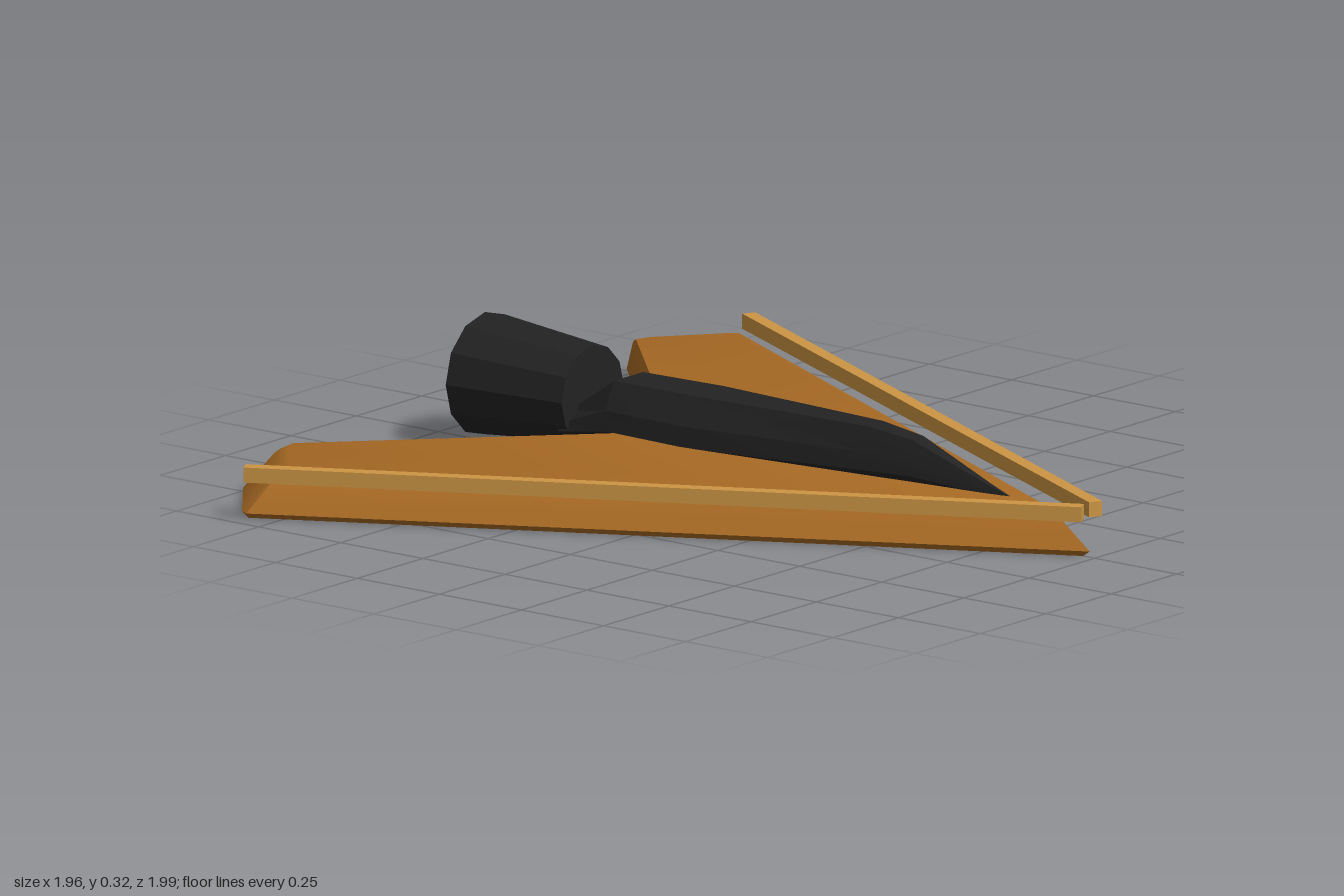
import * as THREE from 'three';
import { toCreasedNormals } from 'three/addons/utils/BufferGeometryUtils.js';

// Skin a stack of equal-length rings of Vector3; caps are triangulated in the plane given by flat()
function loft(rings, flat, crease) {
  const pos = [];
  const tri = (a, b, c) => pos.push(...a.toArray(), ...b.toArray(), ...c.toArray());
  const n = rings[0].length;
  for (let i = 0; i < rings.length - 1; i++) {
    for (let j = 0; j < n; j++) {
      const k = (j + 1) % n, a = rings[i], b = rings[i + 1];
      tri(a[j], a[k], b[k]);
      tri(a[j], b[k], b[j]);
    }
  }
  const cap = (ring, flip) => {
    for (const [a, b, c] of THREE.ShapeUtils.triangulateShape(ring.map(flat), [])) {
      if (flip) tri(ring[c], ring[b], ring[a]);
      else tri(ring[a], ring[b], ring[c]);
    }
  };
  cap(rings[0], true);
  cap(rings[rings.length - 1], false);
  const g = new THREE.BufferGeometry();
  g.setAttribute('position', new THREE.Float32BufferAttribute(pos, 3));
  return toCreasedNormals(g, crease);
}

export function createModel() {
  const model = new THREE.Group();
  const hullBrown = new THREE.MeshStandardMaterial({ color: 0xa86a24 });
  const trimAmber = new THREE.MeshStandardMaterial({ color: 0xcc9544 });
  const engineBlack = new THREE.MeshStandardMaterial({ color: 0x222222 });

  const add = (name, geometry, material) => {
    const mesh = new THREE.Mesh(geometry, material);
    mesh.name = name;
    model.add(mesh);
    return mesh;
  };

  // Swept hull: right-half outlines [x, z] at rising heights, nose first, notch last
  const levels = [
    [0, [[0, 0.965], [0.945, -0.825], [0.93, -0.845], [0.755, -0.975], [0.715, -0.988], [0, -0.297]]],
    [0.014, [[0, 0.985], [0.96, -0.82], [0.945, -0.845], [0.765, -0.985], [0.72, -1.0], [0, -0.302]]],
    [0.098, [[0, 0.875], [0.885, -0.785], [0.87, -0.805], [0.715, -0.93], [0.675, -0.945], [0, -0.30]]],
    [0.112, [[0, 0.835], [0.855, -0.765], [0.84, -0.785], [0.695, -0.905], [0.655, -0.92], [0, -0.285]]],
  ];
  const hullRings = levels.map(([y, half]) => {
    const mirrored = half.slice(1, -1).reverse().map(([x, z]) => [-x, z]);
    return [...half, ...mirrored].map(([x, z]) => new THREE.Vector3(x, y, z));
  });
  add('hull', loft(hullRings, (p) => new THREE.Vector2(p.x, -p.z), 0.7), hullBrown);

  // Straight rails floating along both leading edges
  for (const side of [1, -1]) {
    const a = new THREE.Vector2(0.025, 0.983), b = new THREE.Vector2(0.963, -0.822);
    const rail = add(side > 0 ? 'leftRail' : 'rightRail',
      new THREE.BoxGeometry(0.034, 0.037, a.distanceTo(b)), trimAmber);
    rail.position.set(side * (a.x + b.x) / 2, 0.113, (a.y + b.y) / 2);
    rail.rotation.y = side * Math.atan2(a.x - b.x, a.y - b.y);
  }

  // Spine: faceted sections as [z, half width, base y, top y], rear to front
  const spine = [
    [-0.56, 0.095, 0.07, 0.13],
    [-0.42, 0.1, 0.06, 0.226],
    [-0.18, 0.11, 0.06, 0.228],
    [0.33, 0.058, 0.08, 0.227],
    [0.46, 0.042, 0.09, 0.212],
    [0.68, 0.012, 0.1, 0.132],
    [0.74, 0.003, 0.1, 0.112],
  ];
  const spineRings = spine.map(([z, w, y0, y1]) => {
    const h = y1 - y0;
    return [[0.6, 0], [1, 0.3], [0.92, 0.6], [0.55, 1], [-0.55, 1], [-0.92, 0.6], [-1, 0.3], [-0.6, 0]]
      .map(([u, v]) => new THREE.Vector3(u * w, y0 + v * h, z));
  });
  add('spine', loft(spineRings, (p) => new THREE.Vector2(p.x, p.y), 0.3), engineBlack);

  // Flared twelve-sided engine with its exhaust disc
  const barrel = (name, rFront, rBack, zFront, zBack, material) => {
    const g = new THREE.CylinderGeometry(rFront, rBack, zFront - zBack, 12).toNonIndexed();
    g.rotateX(Math.PI / 2);
    g.computeVertexNormals();
    add(name, g, material).position.set(0, 0.166, (zFront + zBack) / 2);
  };
  barrel('engine', 0.119, 0.15, -0.53, -0.858, engineBlack);
  barrel('exhaustDisc', 0.119, 0.119, -0.84, -0.88, trimAmber);

  return model;
}
